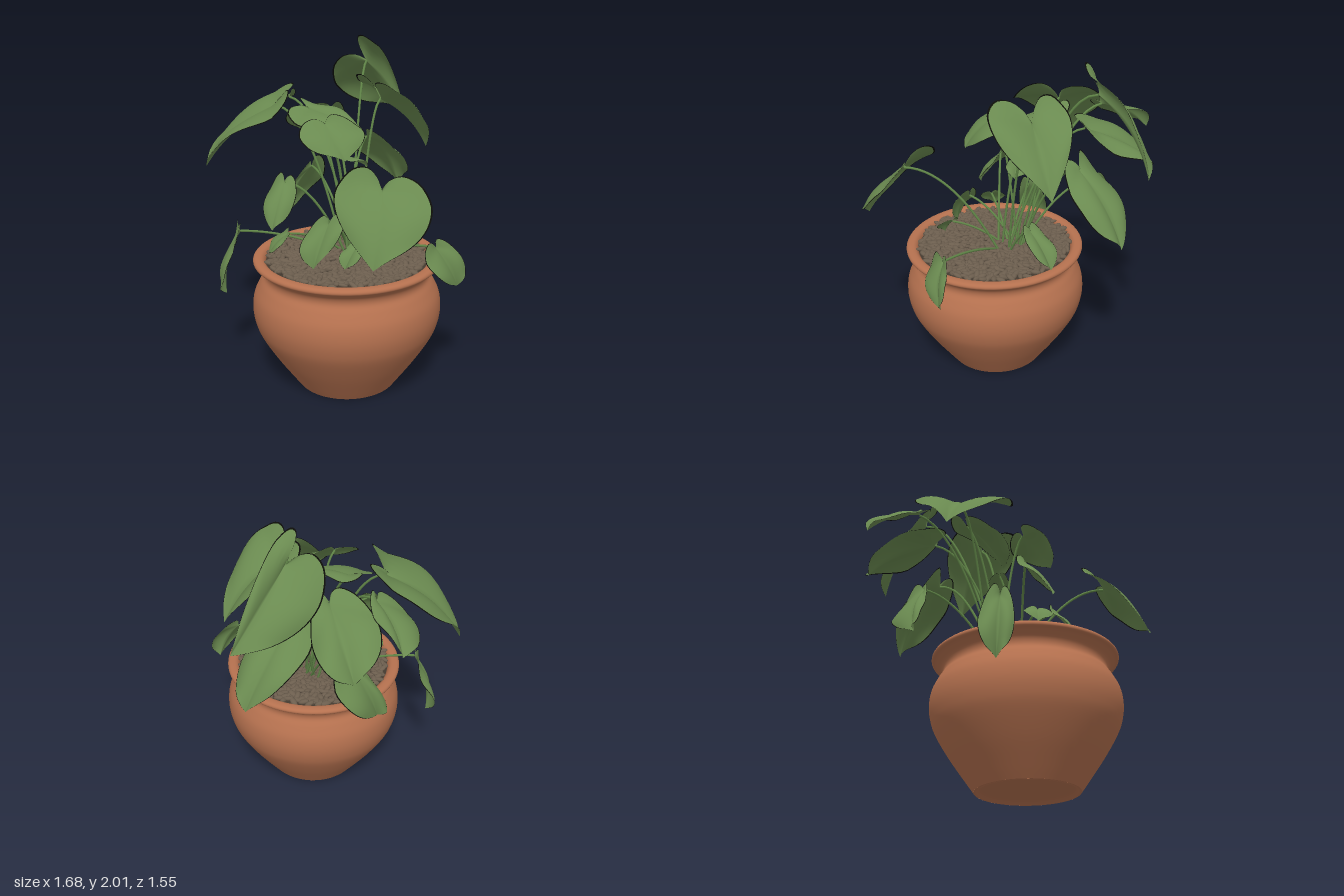
import * as THREE from 'three';
import { mergeGeometries } from 'three/addons/utils/BufferGeometryUtils.js';

const V = (p) => new THREE.Vector3(...p);

export function createModel() {
  const model = new THREE.Group();
  const mat = (name, color, side = THREE.FrontSide) => {
    const m = new THREE.MeshStandardMaterial({ color, side });
    m.name = name;
    return m;
  };
  const terracotta = mat('terracotta', 0xb5714f, THREE.DoubleSide);
  const leafGreen = mat('leaf green', 0x6a8a50, THREE.DoubleSide);
  const edgeBlack = mat('leaf edge black', 0x0c0d08, THREE.DoubleSide);
  const stemGreen = mat('stem green', 0x618648);
  const pebbleBrown = mat('pebble brown', 0x6c5e4e);
  const soilBrown = mat('soil brown', 0x443a30);

  const add = (name, geo, material, parent = model) => {
    const mesh = new THREE.Mesh(geo, material);
    mesh.name = name;
    parent.add(mesh);
    return mesh;
  };

  let seed = 7;
  const rand = () => {
    seed = (seed * 16807) % 2147483647;
    return seed / 2147483647;
  };

  // Pot: smooth belly, waisted neck and rolled rim
  const potX = 0.11, potZ = 0.22;
  const wall = new THREE.SplineCurve([
    [0.3, 0], [0.35, 0.07], [0.44, 0.2], [0.518, 0.33], [0.549, 0.41], [0.56, 0.49],
    [0.549, 0.57], [0.515, 0.64], [0.487, 0.685], [0.492, 0.725], [0.525, 0.757],
    [0.548, 0.772], [0.55, 0.788], [0.535, 0.8], [0.5, 0.8], [0.478, 0.775], [0.47, 0.72],
  ].map(p => new THREE.Vector2(...p))).getPoints(80);
  const pot = add('pot', new THREE.LatheGeometry(wall, 72), terracotta);
  pot.position.set(potX, 0, potZ);

  // Recessed underside
  const base = add('potBase', new THREE.LatheGeometry(
    [[0, 0.025], [0.26, 0.025], [0.28, 0], [0.3, 0]].map(p => new THREE.Vector2(...p)), 48), terracotta);
  base.position.copy(pot.position);

  // Soil under the pebbles
  const soil = add('soil', new THREE.CircleGeometry(0.48, 48).rotateX(-Math.PI / 2), soilBrown);
  soil.position.set(potX, 0.77, potZ);

  // Pebbles scattered on a sunflower spiral
  const pebbles = [];
  const count = 700;
  for (let i = 0; i < count; i++) {
    const r = 0.466 * Math.sqrt((i + 0.5) / count), a = i * 2.39996;
    const g = new THREE.IcosahedronGeometry(1, 1);
    g.deleteAttribute('uv');
    g.scale(0.03 + rand() * 0.009, 0.011 + rand() * 0.005, 0.015 + rand() * 0.005);
    g.rotateX((rand() - 0.5) * 0.8).rotateZ((rand() - 0.5) * 0.9).rotateY(rand() * 6.28);
    g.translate(potX + r * Math.cos(a), 0.782 + rand() * 0.012, potZ + r * Math.sin(a));
    pebbles.push(g);
  }
  add('pebbles', mergeGeometries(pebbles), pebbleBrown);

  // Half of a heart: x runs from stem joint (0) to tip (1), y from midrib (0) to side (1)
  const outline = new THREE.SplineCurve([
    [0, 0], [-0.15, 0.14], [-0.25, 0.4], [-0.2, 0.75], [0, 1], [0.22, 1.03],
    [0.45, 0.9], [0.68, 0.62], [0.87, 0.27], [1, 0],
  ].map(p => new THREE.Vector2(...p)));
  const columns = 18, rows = 28, rimStart = 0.97;

  // A heart-shaped blade spanned by stem joint, tip and its two widest side points
  function leafBlade(joint, tip, sideA, sideB) {
    const J = V(joint), axis = V(tip).sub(J);
    const sides = [V(sideA).sub(J), V(sideB).sub(J)];
    const up = sides[1].clone().sub(sides[0]).cross(axis).normalize();
    if (up.y < 0) up.negate();
    const len = axis.length();
    const geo = new THREE.PlaneGeometry(2, 1, columns, rows);
    const pos = geo.attributes.position;
    for (let i = 0; i < pos.count; i++) {
      const v = pos.getX(i), s = pos.getY(i) + 0.5;
      // The last column is squeezed into a narrow dark rim
      const q = Math.abs(v) > 0.99 ? 1 : Math.abs(v) * rimStart / (1 - 2 / columns);
      const o = outline.getPoint(s);
      const a = s + (o.x - s) * q, b = o.y * q;
      // Arched along the midrib, each half gently domed with a wavy edge
      const lift = 0.32 * Math.max(a, 0) * (1 - a) + 0.22 * b * (1 - b)
        + 0.035 * q * q * Math.sin(s * 13 + (v > 0 ? 1.5 : 0)) * Math.min(1, 4 * (1 - s));
      const p = J.clone().addScaledVector(axis, a)
        .addScaledVector(sides[v > 0 ? 1 : 0], b).addScaledVector(up, lift * len);
      pos.setXYZ(i, p.x, p.y, p.z);
    }
    for (let r = 0; r < rows; r++) {
      const start = r * columns * 6, inner = (columns - 2) * 6;
      geo.addGroup(start, 6, 1);
      geo.addGroup(start + 6, inner, 0);
      geo.addGroup(start + 6 + inner, 6, 1);
    }
    geo.computeVertexNormals();
    return geo;
  }

  // A leaf with its arching stem rising from the middle of the pot
  function leaf(name, joint, tip, sideA, sideB) {
    const group = new THREE.Group();
    group.name = name;
    const J = V(joint);
    const root = new THREE.Vector3(0.06 + (rand() - 0.5) * 0.12 + J.x * 0.12, 0.77, 0.1 + (rand() - 0.5) * 0.12 + J.z * 0.12);
    const bend = root.clone().lerp(J, 0.5);
    bend.y = J.y - 0.06 + 0.1 * Math.hypot(J.x - root.x, J.z - root.z);
    const path = new THREE.QuadraticBezierCurve3(root, bend, J);
    add('stem', new THREE.TubeGeometry(path, 20, 0.0075, 6), stemGreen, group);
    add('blade', leafBlade(joint, tip, sideA, sideB), [leafGreen, edgeBlack], group);
    model.add(group);
  }

  // Large upper leaves
  leaf('topLeaf', [-0.18, 1.84, -0.36], [-0.16, 1.47, -0.77], [-0.12, 1.96, -0.36], [-0.37, 1.69, -0.28]);
  leaf('backLeftLeaf', [0.1, 1.67, -0.12], [0.23, 1.34, -0.43], [-0.09, 1.75, -0.18], [0.31, 1.74, 0.02]);
  leaf('frontRightLeaf', [-0.42, 1.62, 0.21], [-0.79, 1.24, 0.46], [-0.26, 1.6, 0.46], [-0.59, 1.64, 0.03]);
  leaf('frontLeftLeaf', [0.56, 1.34, 0.5], [0.68, 1.0, 0.74], [0.31, 1.35, 0.55], [0.79, 1.28, 0.38]);
  leaf('backRightLeaf', [-0.3, 1.55, -0.14], [-0.65, 1.28, -0.35], [-0.36, 1.43, -0.36], [-0.52, 1.51, -0.03]);
  leaf('farRightLeaf', [-0.54, 1.62, -0.04], [-0.82, 1.44, -0.17], [-0.63, 1.6, -0.17], [-0.67, 1.51, 0.08]);
  leaf('middleLeaf', [-0.27, 1.6, 0.1], [0.11, 1.48, 0.06], [-0.27, 1.61, 0.0], [-0.23, 1.53, 0.27]);
  leaf('middleFrontLeaf', [0.02, 1.58, 0.3], [0.21, 1.41, 0.36], [0.12, 1.56, 0.13], [-0.04, 1.53, 0.46]);

  // Drooping middle leaves
  leaf('backDroopingLeaf', [-0.12, 1.38, -0.28], [-0.12, 1.0, -0.64], [-0.29, 1.31, -0.28], [0.04, 1.28, -0.37]);
  leaf('rightDroopingLeaf', [-0.42, 1.18, -0.1], [-0.57, 0.83, -0.01], [-0.46, 1.07, -0.26], [-0.51, 1.01, 0.02]);
  leaf('frontSmallLeaf', [-0.15, 1.25, 0.46], [-0.11, 1.01, 0.62], [-0.24, 1.2, 0.49], [-0.07, 1.18, 0.45]);
  leaf('centreSmallLeaf', [-0.02, 1.34, 0.14], [0.11, 1.29, 0.02], [0.08, 1.34, 0.13], [-0.02, 1.32, 0.05]);

  // Low leaves around the rim
  leaf('lowFrontLeaf', [0.14, 1.05, 0.42], [0.14, 0.82, 0.56], [0.04, 0.99, 0.5], [0.24, 1.06, 0.4]);
  leaf('lowRightLeaf', [-0.45, 0.91, 0.53], [-0.54, 0.5, 0.58], [-0.56, 0.78, 0.48], [-0.43, 0.78, 0.61]);
  leaf('lowLeftLeaf', [0.62, 0.91, 0.06], [0.72, 0.67, -0.03], [0.64, 0.84, 0.17], [0.68, 0.87, -0.06]);
  leaf('lowBackLeaf', [0.1, 0.99, -0.1], [0.1, 0.8, -0.29], [0.02, 0.95, -0.16], [0.18, 0.95, -0.16]);
  leaf('tinyLeftLeaf', [0.31, 0.94, 0.38], [0.3, 0.83, 0.48], [0.25, 0.92, 0.42], [0.38, 0.92, 0.42]);
  leaf('tinyRightLeaf', [-0.1, 0.96, 0.5], [-0.18, 0.84, 0.57], [-0.18, 0.94, 0.46], [-0.07, 0.92, 0.58]);

  return model;
}
